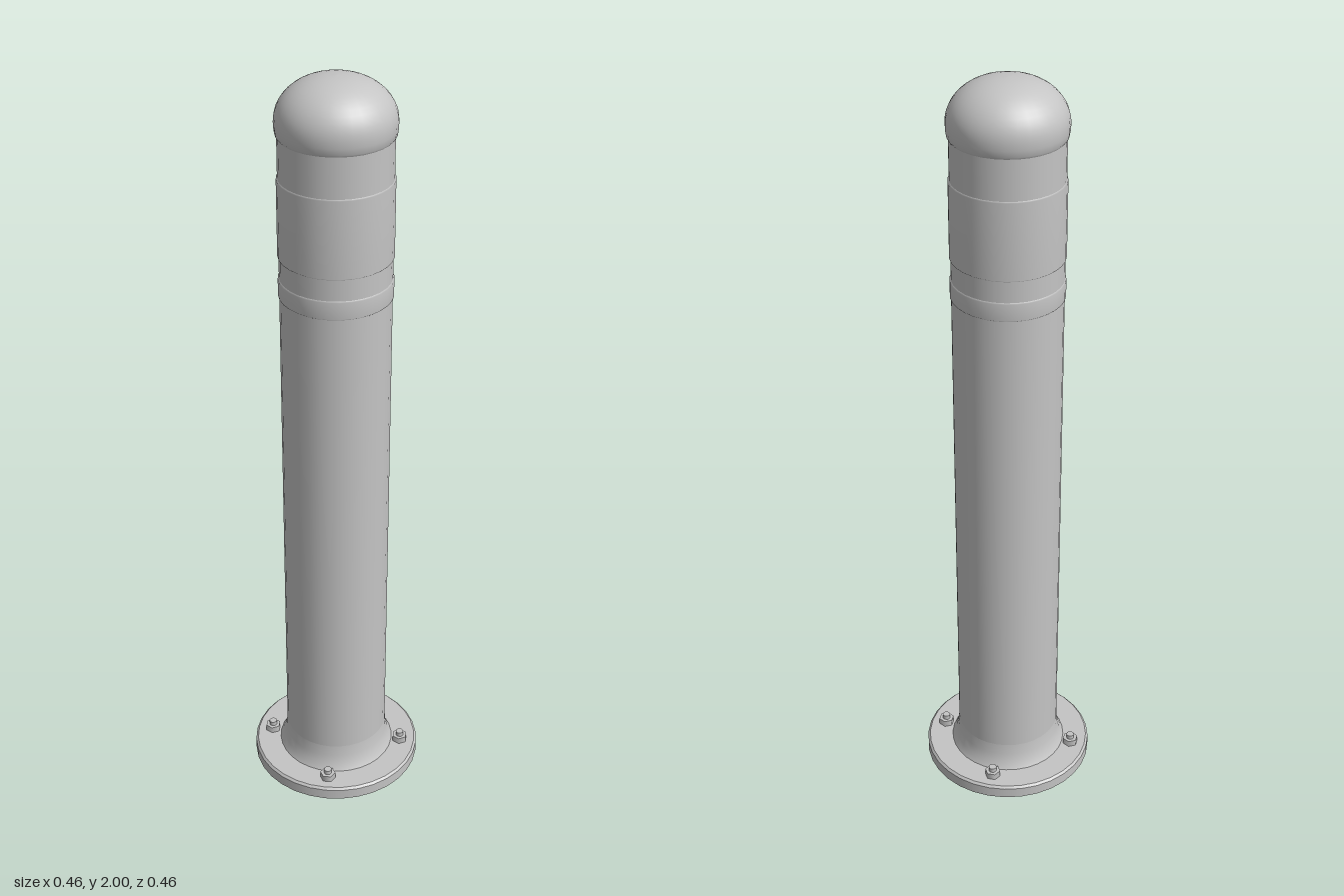
import * as THREE from 'three';

const SEG = 32;

export function createModel() {
  const group = new THREE.Group();
  group.name = 'bollard';
  const grey = new THREE.MeshStandardMaterial({ color: 0xc4c4c4 });
  grey.name = 'plain grey';

  const add = (name, geometry, parent = group) => {
    const mesh = new THREE.Mesh(geometry, grey);
    mesh.name = name;
    parent.add(mesh);
    return mesh;
  };
  // Smooth turned part from [radius, height] pairs, bottom to top
  const turned = (points) =>
    new THREE.LatheGeometry(points.map(([r, y]) => new THREE.Vector2(r, y)), SEG);

  // Round mounting flange with a small bevelled rim
  add('flange', new THREE.CylinderGeometry(0.23, 0.23, 0.03, SEG)).position.y = 0.015;
  add('flangeBevel', new THREE.CylinderGeometry(0.224, 0.23, 0.006, SEG)).position.y = 0.033;

  // Flared foot where the post meets the flange
  add('foot', turned([[0.16, 0.034], [0.155, 0.042], [0.148, 0.058], [0.142, 0.08], [0.139, 0.11]]));

  // Main post and the recessed necks between the bands
  add('post', turned([[0.139, 0.11], [0.139, 1.45]]));
  add('neck', turned([[0.139, 1.49], [0.139, 1.56]]));
  add('upperNeck', turned([[0.139, 1.74], [0.139, 1.88]]));

  // Raised bands, slightly rounded at their edges
  for (const [name, y0, y1] of [['lowerBand', 1.445, 1.497], ['upperBand', 1.55, 1.755]]) {
    add(name, turned([[0.138, y0], [0.142, y0 + 0.004], [0.142, y1 - 0.004], [0.138, y1]]));
  }

  // Domed cap with a rounded lip
  const dome = [[0.138, 1.855], [0.143, 1.862], [0.1455, 1.878]];
  for (let i = 0; i <= 12; i++) {
    const a = (i / 12) * Math.PI / 2;
    dome.push([i === 12 ? 0 : 0.146 * Math.pow(Math.cos(a), 0.92), 1.893 + 0.107 * Math.sin(a)]);
  }
  add('cap', turned(dome));

  // Four anchor bolts: hex nut with a threaded stud
  for (let i = 0; i < 4; i++) {
    const a = Math.PI / 4 + i * Math.PI / 2;
    const bolt = new THREE.Group();
    bolt.name = 'anchorBolt';
    bolt.position.set(0.183 * Math.cos(a), 0.036, 0.183 * Math.sin(a));
    bolt.rotation.y = -a;
    group.add(bolt);
    add('nut', new THREE.CylinderGeometry(0.021, 0.021, 0.018, 6), bolt).position.y = 0.009;
    add('stud', new THREE.CylinderGeometry(0.0105, 0.0105, 0.03, 12), bolt).position.y = 0.015;
  }
  return group;
}
